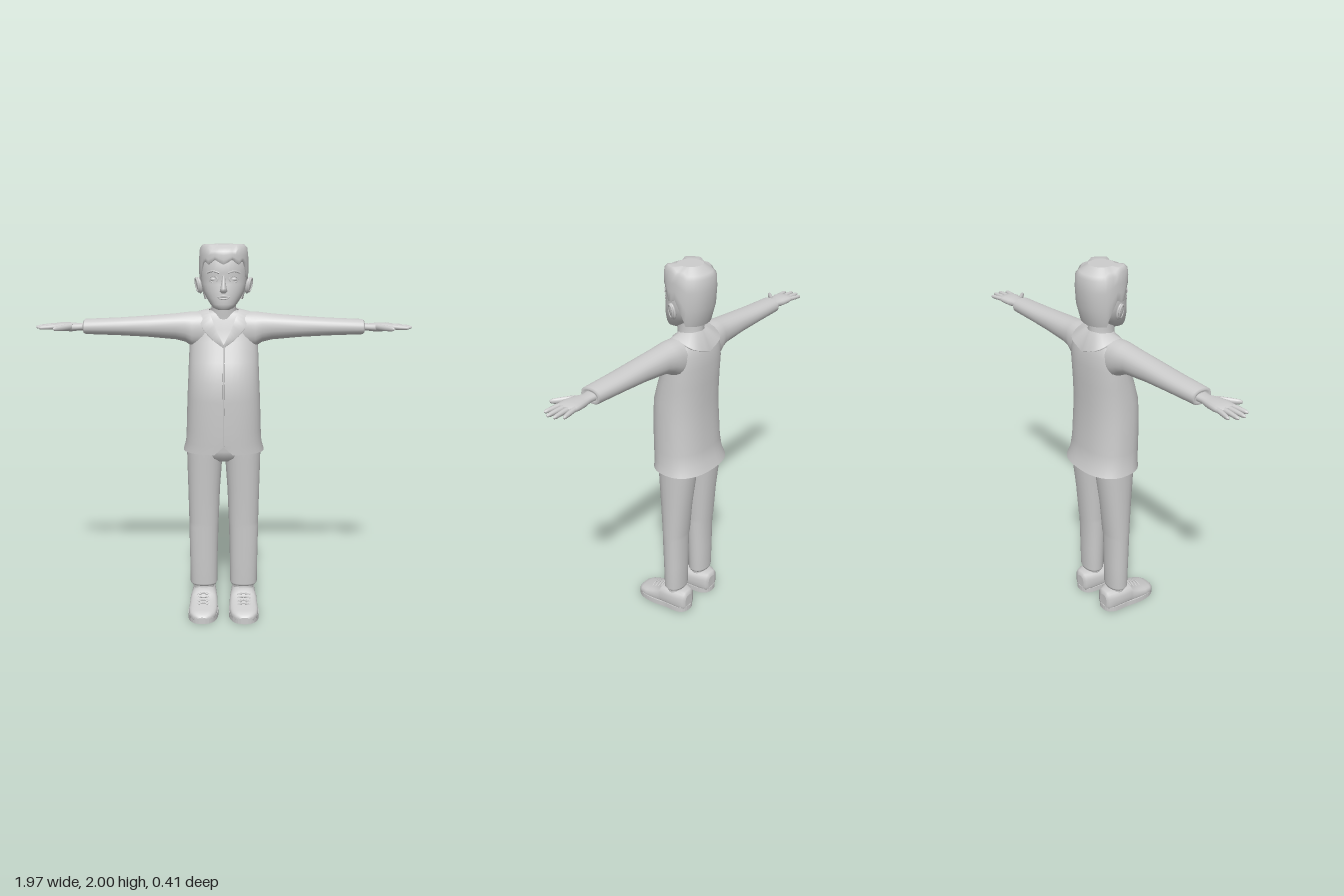
import * as THREE from 'three';

const V = (x, y, z) => new THREE.Vector3(x, y, z);
const grey = new THREE.MeshStandardMaterial({ color: 0xcccccc, side: THREE.DoubleSide });
const pow = (v, e) => Math.sign(v) * Math.pow(Math.abs(v), e);

// Skin a stack of equal-length point rings, optionally closing the ends
function skin(rings, { capStart = true, capEnd = true, closed = true } = {}) {
  const n = rings[0].length, pos = [], idx = [];
  rings.forEach(r => r.forEach(p => pos.push(p.x, p.y, p.z)));
  for (let i = 0; i < rings.length - 1; i++) {
    for (let j = 0; j < (closed ? n : n - 1); j++) {
      const k = (j + 1) % n, a = i * n + j, b = i * n + k;
      idx.push(a, b, b + n, a, b + n, a + n);
    }
  }
  const cap = (ring, flip) => {
    const c = ring.reduce((s, p) => s.add(p), V(0, 0, 0)).divideScalar(n);
    const base = pos.length / 3;
    ring.forEach(p => pos.push(p.x, p.y, p.z));
    pos.push(c.x, c.y, c.z);
    for (let j = 0; j < n; j++) {
      const a = base + j, b = base + (j + 1) % n;
      idx.push(...(flip ? [b, a, base + n] : [a, b, base + n]));
    }
  };
  if (closed && capStart) cap(rings[0], true);
  if (closed && capEnd) cap(rings[rings.length - 1], false);
  const g = new THREE.BufferGeometry();
  g.setAttribute('position', new THREE.Float32BufferAttribute(pos, 3));
  g.setIndex(idx);
  g.computeVertexNormals();
  return g;
}

// Superellipse rings: a row is [position on axis, min1, max1, min2, max2]
// axis y: x then z; axis x: y then z; axis z: x then y
function rings(axis, rows, seg = 24, e = 1) {
  return rows.map(([p, a0, a1, b0, b1]) => Array.from({ length: seg }, (_, j) => {
    const t = j / seg * Math.PI * 2, c = pow(Math.cos(t), e), s = pow(Math.sin(t), e);
    const A = k => (a0 + a1) / 2 + (a1 - a0) / 2 * k, B = k => (b0 + b1) / 2 + (b1 - b0) / 2 * k;
    return axis === 'y' ? V(A(s), p, B(c)) : axis === 'x' ? V(p, A(c), B(s)) : V(A(c), B(s), p);
  }));
}
const loft = (axis, rows, seg, e, opt) => skin(rings(axis, rows, seg, e), opt);
const tube = (pts, r, n = 12) => new THREE.TubeGeometry(new THREE.CatmullRomCurve3(pts), n, r, 6);
const ball = (x, y, z, rx, ry, rz) => new THREE.SphereGeometry(1, 18, 12).scale(rx, ry, rz).translate(x, y, z);

function mirrored(g) {
  const m = g.clone().scale(-1, 1, 1), ix = m.index.array;
  for (let i = 0; i < ix.length; i += 3) [ix[i], ix[i + 1]] = [ix[i + 1], ix[i]];
  m.computeVertexNormals();
  return m;
}

export function createModel() {
  const model = new THREE.Group();
  const add = (name, g) => {
    const m = new THREE.Mesh(g, grey);
    m.name = name;
    model.add(m);
  };
  const pair = (name, g) => { add(name + 'Left', g); add(name + 'Right', mirrored(g)); };

  // Jacket body, open at the hem, with a notch at the front centre
  const body = rings('y', [
    [0.915, -0.217, 0.217, -0.205, 0.108], [0.965, -0.203, 0.203, -0.185, 0.11],
    [1.03, -0.199, 0.199, -0.173, 0.114], [1.2, -0.193, 0.193, -0.163, 0.118],
    [1.3, -0.188, 0.188, -0.162, 0.114], [1.4, -0.184, 0.184, -0.164, 0.085],
    [1.5, -0.18, 0.18, -0.166, 0.043], [1.57, -0.175, 0.175, -0.16, 0.026],
    [1.615, -0.165, 0.165, -0.147, 0.014], [1.645, -0.135, 0.135, -0.128, 0.004],
    [1.66, -0.075, 0.075, -0.11, -0.005],
  ], 36, 0.85);
  body[0][0].y = 0.96;
  add('jacketBody', skin(body, { capStart: false }));

  // Front closing edge
  add('jacketOpening', tube([[0.962, 0.109], [1.1, 0.115], [1.2, 0.117], [1.3, 0.113], [1.4, 0.084], [1.485, 0.049]]
    .map(([y, z]) => V(0, y, z)), 0.004, 24));

  // Collar and lapels: a ribbon from the V point around the back of the neck
  const inner = [[0, 1.49, 0.055], [0.033, 1.555, 0.038], [0.06, 1.62, 0.022], [0.077, 1.662, -0.03], [0.06, 1.672, -0.1], [0, 1.672, -0.122]];
  const outer = [[0, 1.475, 0.058], [0.065, 1.525, 0.044], [0.115, 1.585, 0.024], [0.138, 1.655, -0.04], [0.11, 1.615, -0.152], [0, 1.575, -0.172]];
  const edge = (pts, drop) => new THREE.CatmullRomCurve3(pts.map(p => V(...p))).getPoints(20)
    .map(p => V(p.x, p.y - drop * 0.4, p.z - Math.sign(p.z + 0.05) * drop));
  pair('collar', skin([edge(outer, 0.012), edge(outer, 0), edge(inner, 0), edge(inner, 0.012)], { closed: false }));

  // Sleeves with a turned-in cuff
  pair('sleeve', loft('x', [
    [0.09, 1.46, 1.653, -0.135, 0.02], [0.165, 1.47, 1.654, -0.132, 0.025], [0.2, 1.495, 1.65, -0.124, 0.023],
    [0.25, 1.508, 1.644, -0.117, 0.02], [0.4, 1.522, 1.632, -0.112, 0.018], [0.55, 1.53, 1.622, -0.109, 0.014],
    [0.725, 1.536, 1.615, -0.106, 0.01], [0.733, 1.541, 1.609, -0.1, 0.005], [0.728, 1.552, 1.598, -0.088, -0.008],
  ], 24, 0.9));

  // Hands
  pair('palm', loft('x', [
    [0.7, 1.555, 1.597, -0.085, -0.012], [0.76, 1.554, 1.592, -0.08, -0.016], [0.8, 1.55, 1.596, -0.09, 0],
    [0.85, 1.554, 1.597, -0.1, 0.009], [0.885, 1.56, 1.592, -0.098, 0.005], [0.893, 1.568, 1.584, -0.09, -0.002],
  ], 18, 0.85));
  const finger = (x0, z0, x1, z1, r) => loft('x', [[0, 1], [0.5, 0.95], [0.85, 0.8], [0.96, 0.55], [1, 0.15]].map(([t, k]) => {
    const z = z0 + (z1 - z0) * t, y = 1.577 - 0.004 * t;
    return [x0 + (x1 - x0) * t, y - r * k, y + r * k, z - r * k, z + r * k];
  }), 10);
  [['indexFinger', -0.01, 0.965, 0.002], ['middleFinger', -0.035, 0.985, -0.033],
    ['ringFinger', -0.06, 0.98, -0.068], ['littleFinger', -0.084, 0.953, -0.102]]
    .forEach(([name, z0, x1, z1]) => pair(name, finger(0.865, z0, x1, z1, 0.0125)));
  pair('thumb', finger(0.79, -0.018, 0.878, 0.056, 0.016));

  // Trousers
  add('trouserSeat', loft('y', [
    [0.855, -0.1, 0.1, -0.1, 0.01], [0.88, -0.17, 0.17, -0.14, 0.045],
    [0.92, -0.197, 0.197, -0.153, 0.06], [1.05, -0.185, 0.185, -0.15, 0.07],
  ], 28));
  pair('trouserLeg', loft('y', [
    [0.155, 0.055, 0.165, -0.083, 0.003], [0.138, 0.042, 0.178, -0.092, 0.012], [0.15, 0.036, 0.186, -0.095, 0.016],
    [0.3, 0.034, 0.187, -0.098, 0.021], [0.485, 0.029, 0.19, -0.1, 0.027], [0.51, 0.028, 0.19, -0.107, 0.028],
    [0.7, 0.02, 0.194, -0.123, 0.039], [0.85, 0.009, 0.198, -0.142, 0.051], [0.94, 0.003, 0.199, -0.15, 0.056],
  ], 24, 0.92));
  pair('sock', loft('y', [[0.08, 0.055, 0.165, -0.1, 0.012], [0.17, 0.055, 0.165, -0.085, 0.005]], 20));

  // Shoes: flat sole, rounded upper and laces
  const sole = new THREE.Shape();
  sole.moveTo(0.11, 0.132);
  sole.bezierCurveTo(0.19, 0.132, 0.172, 0.05, 0.18, 0);
  sole.bezierCurveTo(0.205, -0.1, 0.2, -0.206, 0.115, -0.206);
  sole.bezierCurveTo(0.03, -0.206, 0.018, -0.1, 0.036, 0);
  sole.bezierCurveTo(0.045, 0.05, 0.03, 0.132, 0.11, 0.132);
  const soleGeo = new THREE.ExtrudeGeometry(sole, { depth: 0.03, bevelEnabled: false, curveSegments: 12 }).rotateX(-Math.PI / 2);
  soleGeo.setIndex([...Array(soleGeo.attributes.position.count).keys()]);
  pair('shoeSole', soleGeo);
  pair('shoeUpper', loft('z', [
    [-0.128, 0.08, 0.14, 0.01, 0.1], [-0.12, 0.058, 0.16, 0, 0.128], [-0.09, 0.044, 0.174, -0.01, 0.134],
    [-0.02, 0.037, 0.179, -0.01, 0.126], [0.025, 0.034, 0.184, -0.01, 0.13], [0.04, 0.033, 0.185, -0.01, 0.11],
    [0.08, 0.032, 0.188, -0.008, 0.088], [0.125, 0.034, 0.19, -0.006, 0.072], [0.165, 0.045, 0.183, -0.003, 0.062],
    [0.19, 0.066, 0.164, 0.003, 0.05], [0.202, 0.09, 0.14, 0.01, 0.036],
  ].map(([z, a, b, c, d]) => [z, a, b, Math.max(c, 0.002), d]), 24, 0.72));
  [[0.045, 0.11], [0.066, 0.098], [0.088, 0.088], [0.11, 0.08]].forEach(([z, y], i) =>
    pair('lace' + (i + 1), tube([V(0.075, y - 0.008, z), V(0.11, y + 0.001, z + 0.003), V(0.147, y - 0.008, z)], 0.005)));

  // Neck and head
  add('neck', loft('y', [[1.58, -0.085, 0.085, -0.125, 0.012], [1.64, -0.067, 0.067, -0.12, 0.014],
    [1.68, -0.063, 0.063, -0.118, 0.022], [1.75, -0.065, 0.065, -0.12, 0.02]], 24));
  add('head', loft('y', [
    [1.671, -0.03, 0.03, 0.005, 0.062], [1.68, -0.052, 0.052, -0.025, 0.075], [1.7, -0.07, 0.07, -0.065, 0.08],
    [1.73, -0.09, 0.09, -0.11, 0.08], [1.765, -0.108, 0.108, -0.14, 0.078], [1.8, -0.116, 0.116, -0.152, 0.073],
    [1.83, -0.118, 0.118, -0.157, 0.068], [1.86, -0.118, 0.118, -0.158, 0.074], [1.92, -0.113, 0.113, -0.155, 0.068],
    [1.96, -0.09, 0.09, -0.13, 0.045],
  ], 32, 0.92));

  // Face
  add('nose', loft('y', [[1.758, -0.012, 0.012, 0.06, 0.086], [1.768, -0.02, 0.02, 0.06, 0.1],
    [1.782, -0.016, 0.016, 0.055, 0.103], [1.815, -0.01, 0.01, 0.05, 0.086], [1.845, -0.008, 0.008, 0.05, 0.075]], 12));
  pair('eye', ball(0.05, 1.826, 0.05, 0.02, 0.013, 0.013));
  pair('eyelid', new THREE.TorusGeometry(0.022, 0.004, 6, 20).scale(1, 0.72, 1).rotateY(0.32).translate(0.05, 1.826, 0.058));
  pair('eyebrow', tube([V(0.022, 1.858, 0.072), V(0.052, 1.867, 0.066), V(0.083, 1.858, 0.044)], 0.005));
  add('upperLip', tube([V(-0.03, 1.738, 0.073), V(0, 1.743, 0.082), V(0.03, 1.738, 0.073)], 0.005));
  add('lowerLip', tube([V(-0.026, 1.733, 0.074), V(0, 1.729, 0.081), V(0.026, 1.733, 0.074)], 0.005));
  pair('ear', ball(0, 0, 0, 0.014, 0.043, 0.025).rotateZ(-0.2).rotateY(-0.4).translate(0.127, 1.79, -0.035));
  pair('earRim', new THREE.TorusGeometry(0.03, 0.006, 6, 16).scale(0.65, 1.15, 1)
    .rotateY(Math.PI / 2 - 0.4).rotateZ(-0.2).translate(0.137, 1.793, -0.033));

  // Hair: cap with a zigzag fringe, short sides and a longer back
  const seg = 40, hairline = j => {
    const k = Math.min(j, seg - j);
    if (k <= 7) return [1.9, 1.912, 1.925, 1.912, 1.9, 1.915, 1.91, 1.88][k];
    if (k <= 9) return 1.835;
    return k <= 12 ? 1.85 - (k - 10) * 0.045 : 1.715 - (k - 13) * 0.001;
  };
  const hairRows = [[0, 0.93], [0, 1], [0.35, 1], [0.7, 1], [1, 0.97], [1.1, 0.84], [1.2, 0.5]];
  const hair = hairRows.map(([t, k], i) => Array.from({ length: seg }, (_, j) => {
    const a = j / seg * Math.PI * 2, s = pow(Math.sin(a), 0.9), c = pow(Math.cos(a), 0.9);
    const low = hairline(j);
    let y = low + (1.965 - low) * Math.min(t, 1) + Math.max(0, t - 1) * 0.17;
    // raised tufts at the front corners, sloping crown behind
    if (i >= 4) y += (c > 0.1 && Math.abs(s) > 0.55 && i < 6 ? 0.016 : 0) - (c < -0.4 && i < 6 ? 0.016 : 0);
    const nape = y < 1.82 ? 1 - (1.82 - y) * 2.3 : 1;
    return V(0.127 * s * k * (0.5 + nape / 2), y, -0.047 + 0.124 * c * k * nape);
  }));
  add('hair', skin(hair, { capStart: false }));

  return model;
}
